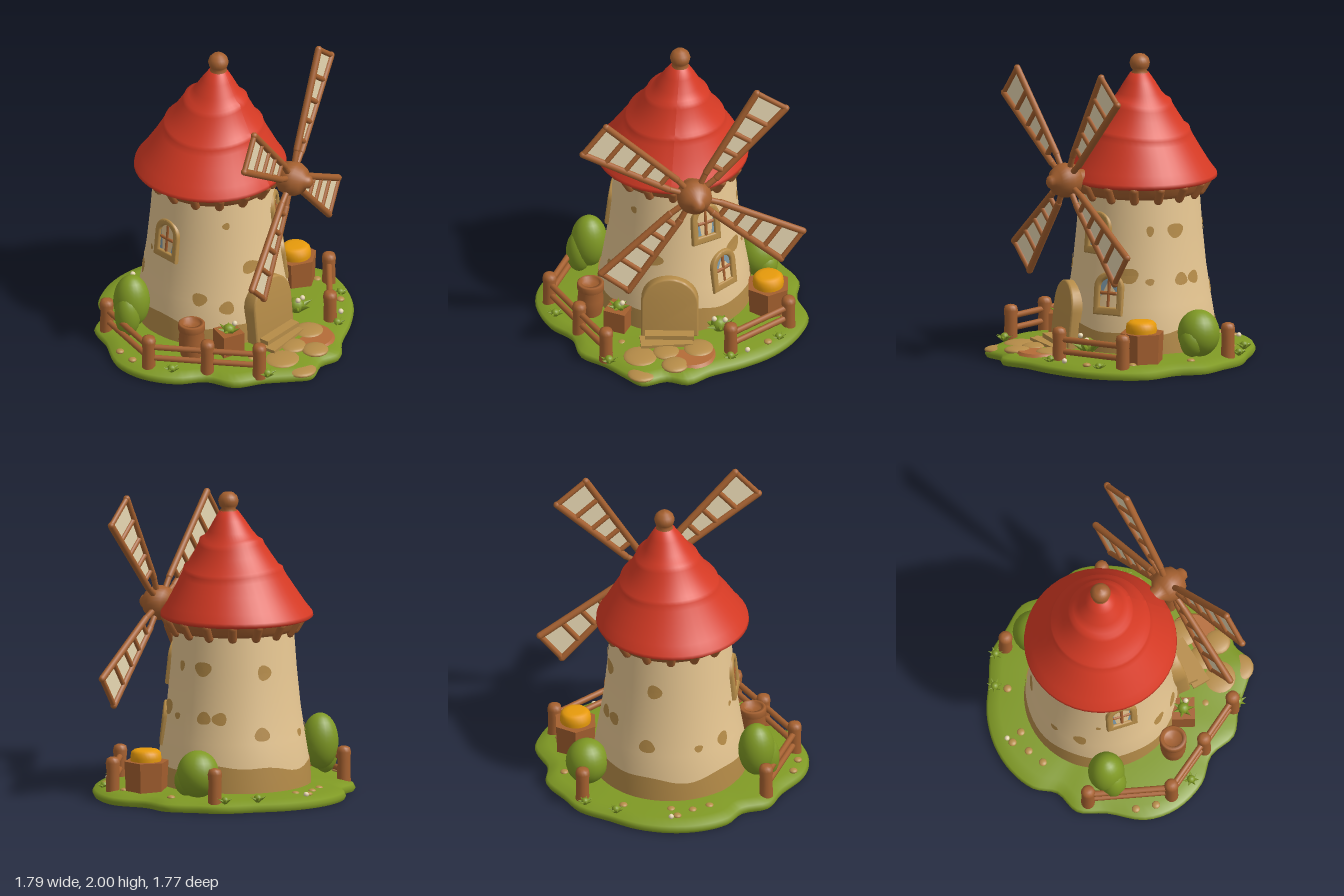
import * as THREE from 'three';
import { toCreasedNormals } from 'three/addons/utils/BufferGeometryUtils.js';

const mat = (name, color, side = THREE.FrontSide) => {
  const m = new THREE.MeshStandardMaterial({ color, side });
  m.name = name;
  return m;
};
const V = (x, y, z) => new THREE.Vector3(x, y, z);
const P = pts => pts.map(([x, y]) => new THREE.Vector2(x, y));

export function createModel() {
  const model = new THREE.Group();
  const red = mat('roofRed', 0xd63a24), cream = mat('wallCream', 0xeccb95);
  const wood = mat('wood', 0xa5602f), doorWood = mat('doorWood', 0xb56c38);
  const stone = mat('stoneTan', 0xb68c48, THREE.DoubleSide), grass = mat('grassGreen', 0x7f9924);
  const cloth = mat('sailCloth', 0xf0dfb8, THREE.DoubleSide), orange = mat('orange', 0xf2a20c);
  const glass = mat('windowBlue', 0x7f9aa8), earth = mat('earthBrown', 0x8f6c3c);

  const add = (name, geo, m, x = 0, y = 0, z = 0, parent = model) => {
    const mesh = new THREE.Mesh(geo, m);
    mesh.name = name;
    mesh.position.set(x, y, z);
    parent.add(mesh);
    return mesh;
  };
  const group = (name, x, y, z, parent = model) => {
    const g = new THREE.Group();
    g.name = name;
    g.position.set(x, y, z);
    parent.add(g);
    return g;
  };
  // Round bar between two points
  const bar = (name, a, b, r, m, parent = model) => {
    const mesh = add(name, new THREE.CapsuleGeometry(r, a.distanceTo(b), 4, 10), m, 0, 0, 0, parent);
    mesh.position.copy(a).add(b).multiplyScalar(0.5);
    mesh.quaternion.setFromUnitVectors(V(0, 1, 0), b.clone().sub(a).normalize());
    return mesh;
  };

  // Ground: wavy outline raised in rings to a low mound
  const outline = new THREE.CatmullRomCurve3([
    [0.02, -0.89], [0.24, -0.84], [0.42, -0.74], [0.61, -0.63], [0.71, -0.48], [0.82, -0.31], [0.81, -0.12],
    [0.89, 0.1], [0.83, 0.31], [0.68, 0.51], [0.48, 0.65], [0.27, 0.75], [0.12, 0.855], [-0.02, 0.82],
    [-0.18, 0.875], [-0.29, 0.79], [-0.43, 0.66], [-0.59, 0.55], [-0.65, 0.36], [-0.8, 0.22], [-0.89, 0],
    [-0.87, -0.22], [-0.72, -0.43], [-0.63, -0.6], [-0.46, -0.66], [-0.36, -0.79], [-0.19, -0.87],
  ].map(([x, z]) => V(x, 0, z)), true);
  const N = 108, rim = outline.getPoints(N).slice(0, N);
  const loops = (rings, flip) => {
    const pos = [], idx = [];
    rings.forEach(([s, y]) => rim.forEach(p => pos.push(p.x * s, y, p.z * s)));
    for (let i = 0; i < rings.length - 1; i++) for (let j = 0; j < N; j++) {
      const a = i * N + j, b = i * N + (j + 1) % N, c = b + N, d = a + N;
      idx.push(...(flip ? [a, b, c, a, c, d] : [a, d, c, a, c, b]));
    }
    const g = new THREE.BufferGeometry();
    g.setAttribute('position', new THREE.Float32BufferAttribute(pos, 3));
    g.setIndex(idx);
    g.computeVertexNormals();
    return g;
  };
  add('ground', loops([[0.985, 0], [1, 0.025], [0.985, 0.05], [0.9, 0.072], [0.6, 0.092], [0.01, 0.1]]), grass);
  add('groundUnderside', loops([[0.985, 0], [0.001, 0]], true), earth);

  // Tower wall, plinth band and wall patches
  const CX = 0.01, CZ = -0.12;
  const profile = [[0.5, 0.05], [0.49, 0.25], [0.465, 0.4], [0.435, 0.6], [0.41, 0.85], [0.385, 1.19]];
  const wallR = y => {
    const i = Math.max(1, profile.findIndex(p => p[1] >= y));
    const [r0, y0] = profile[i - 1], [r1, y1] = profile[i];
    return r0 + (r1 - r0) * (y - y0) / (y1 - y0);
  };
  add('towerWall', new THREE.LatheGeometry(P(profile), 48), cream, CX, 0, CZ);
  const band = new THREE.LatheGeometry(P([[0.506, 0.05], [0.502, 0.15], [0.496, 0.24]]), 64);
  for (let i = 0, p = band.attributes.position; i < p.count; i++) if (p.getY(i) > 0.2) {
    const a = Math.atan2(p.getX(i), p.getZ(i));
    p.setY(i, 0.24 + 0.02 * Math.sin(a * 3 + 1) + 0.012 * Math.sin(a * 7));
  }
  add('plinthBand', band, stone, CX, 0, CZ);
  [[107, 0.885, 0.062, 0.048], [82, 0.89, 0.025, 0.035], [62, 0.6, 0.075, 0.05], [110, 0.565, 0.05, 0.042],
    [124, 0.565, 0.05, 0.042], [165, 0.86, 0.05, 0.05], [160, 0.46, 0.055, 0.045], [-17, 0.615, 0.065, 0.045],
    [-40, 0.36, 0.05, 0.045], [-39, 0.94, 0.025, 0.025], [-157, 0.44, 0.03, 0.025], [-133, 0.45, 0.045, 0.05],
    [-118, 0.65, 0.018, 0.018], [-62, 0.42, 0.05, 0.045], [81, 0.56, 0.03, 0.022],
  ].forEach(([az, y, w, h]) => {
    const g = new THREE.RingGeometry(0.001, 1, 16, 3), p = g.attributes.position;
    for (let i = 0; i < p.count; i++) {
      const px = p.getX(i), py = p.getY(i), k = 1 + 0.08 * Math.sin(3 * Math.atan2(py, px) + az);
      const yy = y + py * h * k, r = wallR(yy) + 0.005, a = az * Math.PI / 180 + px * w * k / r;
      p.setXYZ(i, Math.sin(a) * r, yy, Math.cos(a) * r);
    }
    g.computeVertexNormals();
    add('wallPatch', g, stone, CX, 0, CZ);
  });

  // Arched openings
  const arch = (w, h, y0 = 0, Type = THREE.Shape) => {
    const s = new Type();
    s.moveTo(-w, y0);
    s.lineTo(w, y0);
    s.lineTo(w, h - w);
    s.absarc(0, h - w, w, 0, Math.PI, false);
    s.lineTo(-w, y0);
    return s;
  };
  const archFrame = (w, h, iw, ih, y0, depth) => {
    const s = arch(w, h);
    s.holes.push(arch(iw, ih, y0, THREE.Path));
    return toCreasedNormals(new THREE.ExtrudeGeometry(s, {
      depth, bevelEnabled: true, bevelSize: 0.012, bevelThickness: 0.015, bevelOffset: -0.012, bevelSegments: 3, curveSegments: 14,
    }), 0.8);
  };
  [[31, 0.72], [46, 0.335], [-97, 0.635]].forEach(([az, y]) => {
    const a = az * Math.PI / 180, r = wallR(y + 0.14);
    const g = group('window', CX + Math.sin(a) * r, y, CZ + Math.cos(a) * r);
    g.rotation.set(-0.11, a, 0, 'YXZ');
    add('windowFrame', archFrame(0.105, 0.285, 0.06, 0.24, 0.055, 0.05), stone, 0, 0, -0.035, g);
    add('windowGlass', new THREE.ShapeGeometry(arch(0.066, 0.246, 0.05), 14), glass, 0, 0, 0.012, g);
    bar('windowBar', V(0, 0.06, 0.012), V(0, 0.235, 0.012), 0.012, wood, g);
    bar('windowBar', V(-0.052, 0.145, 0.012), V(0.052, 0.145, 0.012), 0.012, wood, g);
  });

  // Door, leaning back with the wall, and its steps
  const door = group('door', -0.01, 0.09, 0.395);
  door.rotation.x = -0.1;
  add('doorFrame', archFrame(0.187, 0.425, 0.118, 0.352, 0.02, 0.075), stone, 0, 0, -0.06, door);
  add('doorPanel', new THREE.ExtrudeGeometry(arch(0.125, 0.36), { depth: 0.06, bevelEnabled: false, curveSegments: 14 }), doorWood, 0, 0, -0.055, door);
  [-0.06, 0, 0.06].forEach(x => bar('doorGroove', V(x, 0.06, 0.002), V(x, 0.3, 0.002), 0.004, wood, door));
  add('doorKnob', new THREE.SphereGeometry(0.014, 10, 8), wood, 0.08, 0.17, 0.01, door);
  add('doorStep', new THREE.BoxGeometry(0.32, 0.06, 0.12), stone, -0.01, 0.11, 0.425);
  add('lowerStep', new THREE.BoxGeometry(0.34, 0.05, 0.12), stone, -0.03, 0.085, 0.485).rotation.y = 0.1;

  // Eaves ring with brackets
  add('eavesRing', new THREE.LatheGeometry(P([[0.38, 1.1], [0.405, 1.095], [0.42, 1.12], [0.445, 1.165], [0.45, 1.19]]), 48), wood, CX, 0, CZ);
  for (let i = 0; i < 16; i++) {
    const a = i / 16 * Math.PI * 2;
    bar('eavesBracket', V(CX + Math.sin(a) * 0.4, 1.09, CZ + Math.cos(a) * 0.4),
      V(CX + Math.sin(a) * 0.445, 1.165, CZ + Math.cos(a) * 0.445), 0.03, wood);
  }

  // Tiered roof, leaning slightly towards its tip
  const roof = new THREE.LatheGeometry(P([[0.38, 1.165], [0.48, 1.17], [0.498, 1.182], [0.495, 1.205], [0.455, 1.26], [0.395, 1.36],
    [0.345, 1.44], [0.328, 1.475], [0.322, 1.5], [0.298, 1.512], [0.25, 1.59], [0.215, 1.65], [0.205, 1.68], [0.178, 1.693],
    [0.145, 1.74], [0.1, 1.815], [0.06, 1.875], [0, 1.88]]), 48);
  for (let i = 0, p = roof.attributes.position; i < p.count; i++) {
    const t = (p.getY(i) - 1.18) / 0.7, a = Math.atan2(p.getX(i), p.getZ(i));
    p.setX(i, p.getX(i) - 0.005 + 0.05 * t);
    p.setZ(i, p.getZ(i) - 0.135 + 0.025 * t);
    if (t > 0.3 && t < 0.8) p.setY(i, p.getY(i) + 0.014 * Math.sin(a * 2 + 1));
  }
  roof.computeVertexNormals();
  add('roof', roof, red);
  add('finial', new THREE.LatheGeometry(P([[0.065, 1.845], [0.06, 1.87], [0.045, 1.89], [0.06, 1.91], [0.067, 1.94], [0.058, 1.97], [0.035, 1.993], [0, 2]]), 24), wood, 0.048, 0, -0.11);

  // Hub and four sails
  const sails = group('sails', 0.15, 1.21, 0.425);
  sails.rotation.y = 0.26;
  add('hub', new THREE.LatheGeometry(P([[0, -0.35], [0.06, -0.35], [0.06, -0.09], [0.1, -0.06], [0.115, 0], [0.11, 0.04], [0.085, 0.085], [0.045, 0.105], [0.04, 0.13], [0.02, 0.145], [0, 0.147]]), 28), wood, 0, 0, 0, sails)
    .rotation.x = Math.PI / 2;
  [[52.5, 0.85], [140.5, 0.865], [228, 0.795], [323, 0.82]].forEach(([deg, L]) => {
    const sail = group('sail', 0, 0, 0, sails);
    sail.rotation.z = deg * Math.PI / 180;
    const hw = r => 0.04 + 0.083 * (r - 0.15) / (L - 0.15);
    [-1, 1].forEach(s => {
      bar('sailRail', V(0.19, s * hw(0.19), 0), V(L, s * hw(L), 0), 0.023, wood, sail);
      bar('sailArm', V(0.07, s * 0.015, 0), V(0.19, s * hw(0.19), 0), 0.02, wood, sail);
    });
    [0.3, 0.46, 0.62, 0.8, 1].forEach(t => bar('sailRung', V(L * t, -hw(L * t), 0), V(L * t, hw(L * t), 0), 0.018, wood, sail));
    const r0 = 0.26, h0 = hw(r0), h1 = hw(L);
    add('sailCloth', new THREE.ShapeGeometry(new THREE.Shape(P([[r0, -h0], [L, -h1], [L, h1], [r0, h0]]))), cloth, 0, 0, 0, sail);
  });

  // Fences
  const post = (x, z) => add('fencePost', new THREE.LatheGeometry(P([[0.046, 0.04], [0.042, 0.2], [0.047, 0.25], [0.04, 0.278], [0.02, 0.288], [0, 0.288]]), 14), wood, x, 0, z);
  [[[-0.61, -0.51], [-0.8, 0], [-0.6, 0.33], [-0.42, 0.62]], [[0.39, 0.55], [0.76, 0.235]], [[0.585, -0.54]]].forEach(run => {
    run.forEach(([x, z], i) => {
      post(x, z);
      if (i) [0.13, 0.21].forEach(y => bar('fenceRail', V(run[i - 1][0], y, run[i - 1][1]), V(x, y, z), 0.02, wood));
    });
  });

  // Bushes made of soft lobes
  [[0.555, 0.225, -0.35, 0.138, 0.155], [0.6, 0.18, -0.29, 0.08, 0.1], [-0.55, 0.31, -0.35, 0.12, 0.185], [-0.615, 0.24, -0.33, 0.085, 0.15]]
    .forEach(([x, y, z, rx, ry]) => add('bush', new THREE.SphereGeometry(1, 22, 16), grass, x, y, z).scale.set(rx, ry, rx));

  // Hexagonal planter with orange top, barrel and crate
  add('hexPlanter', toCreasedNormals(new THREE.CylinderGeometry(0.148, 0.138, 0.2, 6), 0.5), wood, 0.625, 0.17, 0.06);
  add('orangeTop', new THREE.LatheGeometry(P([[0.098, 0.25], [0.102, 0.29], [0.097, 0.325], [0.08, 0.342], [0.05, 0.347], [0, 0.347]]), 28), orange, 0.625, 0, 0.065);
  add('barrel', new THREE.LatheGeometry(P([[0.07, 0.07], [0.082, 0.14], [0.085, 0.2], [0.078, 0.27], [0.088, 0.275], [0.088, 0.315], [0.08, 0.322], [0.06, 0.322], [0.058, 0.29], [0, 0.29]]), 24), wood, -0.53, 0, 0.14);
  add('crate', new THREE.BoxGeometry(0.15, 0.15, 0.15), wood, -0.345, 0.16, 0.3).rotation.y = -0.4;

  // Leafy tufts and small flowers
  const tuft = (x, y, z, s) => {
    const g = group('tuft', x, y, z);
    for (let i = 0; i < 7; i++) {
      const a = i / 7 * Math.PI * 2 + x * 9;
      const cone = add('leafBlade', new THREE.ConeGeometry(0.28 * s, s, 5), grass, Math.sin(a) * 0.45 * s, 0.28 * s, Math.cos(a) * 0.45 * s, g);
      cone.quaternion.setFromUnitVectors(V(0, 1, 0), V(Math.sin(a), 0.45, Math.cos(a)).normalize());
    }
    add('tuftHeart', new THREE.SphereGeometry(0.45 * s, 10, 8), grass, 0, 0.3 * s, 0, g);
  };
  [[-0.345, 0.22, 0.3, 0.085], [0.31, 0.1, 0.33, 0.12], [0.37, 0.07, -0.72, 0.06], [0.57, 0.07, -0.62, 0.055], [-0.76, 0.07, 0.16, 0.06],
    [-0.4, 0.06, 0.67, 0.065], [0.39, 0.06, 0.61, 0.06], [0.7, 0.06, 0.38, 0.055]].forEach(t => tuft(...t));
  [[-0.32, 0.29, 0.33], [0.28, 0.2, 0.37], [0.35, 0.18, 0.35], [0.5, 0.085, 0.55], [0.01, 0.08, -0.8]].forEach(p =>
    add('flower', new THREE.SphereGeometry(0.018, 8, 6), cloth, ...p));

  // Path and pebbles
  add('pathEarth', new THREE.CylinderGeometry(0.155, 0.17, 0.02, 28), doorWood, 0.13, 0.078, 0.585);
  const slab = (name, x, y, z, r, h) => add(name, new THREE.SphereGeometry(1, 18, 10), stone, x, y, z).scale.set(r, h, r);
  [[-0.19, 0.07, 0.62, 0.12], [-0.18, 0.045, 0.775, 0.1], [0.03, 0.077, 0.72, 0.088], [0.18, 0.083, 0.54, 0.1], [-0.03, 0.08, 0.58, 0.09]]
    .forEach(([x, y, z, r]) => slab('pathStone', x, y, z, r, 0.025));
  [[-0.24, -0.66], [-0.13, -0.71], [-0.03, -0.78], [0.01, -0.7], [0.32, -0.65], [0.7, -0.25], [0.73, 0.16], [-0.82, -0.12], [-0.79, -0.25], [-0.32, 0.47], [0.63, 0.44]]
    .forEach(([x, z]) => slab('pebble', x, 0.075, z, 0.027, 0.015));

  return model;
}
